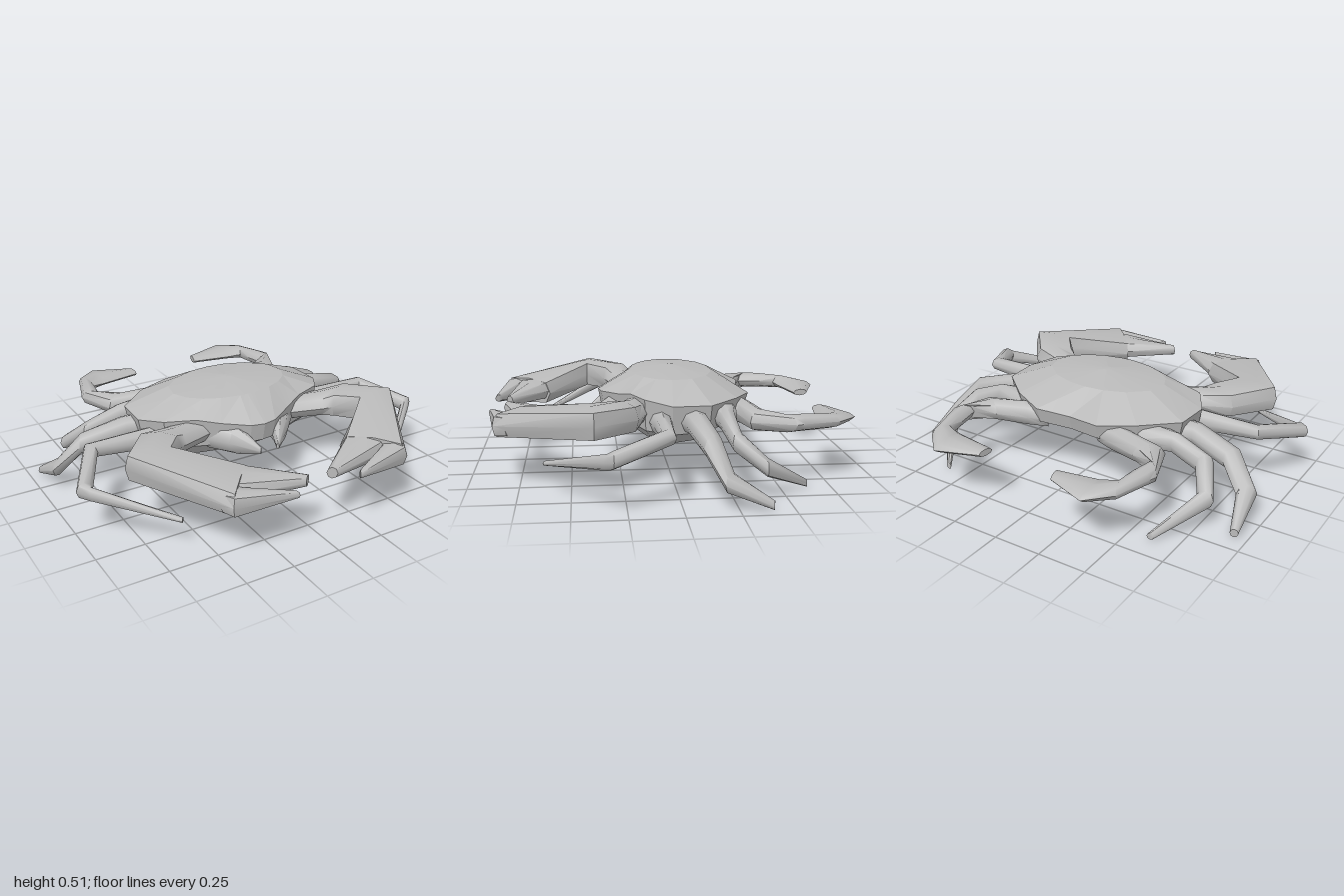
import * as THREE from 'three';
import { toCreasedNormals } from 'three/addons/utils/BufferGeometryUtils.js';

const shellGrey = new THREE.MeshStandardMaterial({ color: 0xbababa });
shellGrey.name = 'shellGrey';

// Closed skin through equal-length rings of points, capped at both ends.
function loft(rings, crease) {
  const n = rings[0].length, pos = [], idx = [];
  rings.forEach(r => r.forEach(p => pos.push(...p)));
  for (let j = 0; j < rings.length - 1; j++)
    for (let i = 0; i < n; i++) {
      const a = j * n + i, b = j * n + (i + 1) % n;
      idx.push(a, a + n, b, b, a + n, b + n);
    }
  [0, rings.length - 1].forEach(j => {
    const centre = [0, 1, 2].map(k => rings[j].reduce((s, p) => s + p[k], 0) / n);
    const c = pos.length / 3;
    pos.push(...centre);
    for (let i = 0; i < n; i++) {
      const a = j * n + i, b = j * n + (i + 1) % n;
      j ? idx.push(c, b, a) : idx.push(c, a, b);
    }
  });
  // turn the faces outward if the rings run the other way
  const v = i => new THREE.Vector3().fromArray(pos, i * 3);
  let volume = 0;
  for (let i = 0; i < idx.length; i += 3)
    volume += v(idx[i]).dot(v(idx[i + 1]).cross(v(idx[i + 2])));
  if (volume < 0) idx.reverse();
  const g = new THREE.BufferGeometry();
  g.setAttribute('position', new THREE.Float32BufferAttribute(pos, 3));
  g.setIndex(idx);
  return toCreasedNormals(g, crease);
}

// Limb from sections [edge x, edge z, other edge x, other edge z, centre y, half height, power];
// a power below 1 makes the section boxier.
function limb(sections, side) {
  const bend = (v, power) => Math.sign(v) * Math.abs(v) ** power;
  const rings = sections.map(([ax, az, bx, bz, y, h, power = 1]) =>
    Array.from({ length: 8 }, (_, i) => {
      const t = i / 8 * Math.PI * 2;
      const c = (1 + bend(Math.cos(t), power)) / 2;
      return [side * (bx + (ax - bx) * c), y + bend(Math.sin(t), power) * h, bz + (az - bz) * c];
    }));
  return loft(rings, 0.85);
}

const limbs = {
  clawArm: [
    [0.24, 0.06, 0.2, 0.21, 0.34, 0.06], [0.46, 0.13, 0.41, 0.29, 0.35, 0.065],
    [0.63, 0.18, 0.45, 0.315, 0.36, 0.075, 0.7], [0.785, 0.39, 0.54, 0.41, 0.367, 0.073, 0.4],
    [0.49, 0.87, 0.27, 0.62, 0.313, 0.07, 0.6]],
  clawThumb: [
    [0.46, 0.76, 0.33, 0.6, 0.325, 0.055, 0.7], [0.40, 0.80, 0.275, 0.63, 0.325, 0.055, 0.7],
    [0.09, 0.845, 0.05, 0.81, 0.315, 0.03]],
  clawFinger: [
    [0.52, 0.81, 0.42, 0.73, 0.313, 0.055, 0.7], [0.49, 0.87, 0.39, 0.78, 0.31, 0.06, 0.7],
    [0.17, 0.915, 0.19, 0.88, 0.31, 0.02]],
  frontLeg: [
    [0.42, 0.0, 0.42, 0.12, 0.305, 0.065], [0.6, 0.015, 0.6, 0.105, 0.315, 0.052],
    [0.845, 0.025, 0.8, 0.1, 0.325, 0.038], [1.0, 0.31, 0.92, 0.32, 0.265, 0.042],
    [0.95, 0.355, 0.92, 0.32, 0.25, 0.038], [0.62, 0.63, 0.6, 0.605, 0.16, 0.012]],
  middleLeg: [
    [0.42, -0.01, 0.42, -0.17, 0.31, 0.07], [0.58, -0.045, 0.57, -0.165, 0.32, 0.058],
    [0.82, -0.1, 0.76, -0.2, 0.265, 0.055], [0.945, -0.18, 0.86, -0.24, 0.13, 0.05],
    [0.955, -0.4, 0.915, -0.41, 0.03, 0.022]],
  rearLeg: [
    [0.36, -0.18, 0.36, -0.33, 0.33, 0.065], [0.54, -0.21, 0.53, -0.3, 0.325, 0.055],
    [0.74, -0.245, 0.67, -0.305, 0.265, 0.052], [0.82, -0.4, 0.735, -0.405, 0.16, 0.045],
    [0.635, -0.63, 0.6, -0.635, 0.027, 0.018]],
  swimmingLeg: [
    [0.24, -0.24, 0.14, -0.38, 0.32, 0.07], [0.36, -0.33, 0.24, -0.415, 0.32, 0.065],
    [0.54, -0.365, 0.41, -0.46, 0.315, 0.055], [0.615, -0.58, 0.53, -0.5, 0.315, 0.044],
    [0.6, -0.62, 0.505, -0.62, 0.315, 0.042], [0.54, -0.81, 0.495, -0.705, 0.31, 0.036],
    [0.425, -0.92, 0.42, -0.72, 0.305, 0.03], [0.21, -0.84, 0.195, -0.76, 0.305, 0.018]],
  mouthpart: [
    [0.28, 0.19, 0.08, 0.2, 0.31, 0.08], [0.18, 0.3, 0.07, 0.31, 0.3, 0.07],
    [0.055, 0.405, 0.045, 0.395, 0.27, 0.018]],
};

// Rim of the shell, [x, y, z] from the back round the left to the front.
const halfRim = [
  [0, 0.38, -0.39], [0.18, 0.39, -0.42], [0.36, 0.40, -0.33], [0.53, 0.40, -0.18],
  [0.54, 0.40, 0.01], [0.46, 0.42, 0.14], [0.31, 0.42, 0.2], [0.2, 0.40, 0.26],
  [0.07, 0.39, 0.34], [0, 0.39, 0.355]];

function createShell() {
  const rim = [...halfRim, ...halfRim.slice(1, -1).reverse().map(([x, y, z]) => [-x, y, z])];
  const ellipse = (a, b, y) => rim.map(([x, , z]) => {
    const t = Math.atan2((z + 0.03) / 0.38, x / 0.54);
    return [Math.cos(t) * a, y, Math.sin(t) * b - 0.03];
  });
  // lower rings rise towards the front and back
  const lower = (s, y, rise) => rim.map(([x, , z]) => [x * s, y + rise * (z * s) ** 2, z * s]);
  return loft([
    ellipse(0.03, 0.03, 0.2), lower(0.64, 0.168, 1.1), lower(0.95, 0.255, 0.35),
    rim, ellipse(0.33, 0.215, 0.49), ellipse(0.02, 0.02, 0.515)], 0.12);
}

export function createModel() {
  const model = new THREE.Group();
  model.name = 'crab';
  const add = (name, geometry) => {
    const mesh = new THREE.Mesh(geometry, shellGrey);
    mesh.name = name;
    model.add(mesh);
  };
  add('shell', createShell());
  for (const side of [1, -1])
    for (const [name, sections] of Object.entries(limbs))
      add((side > 0 ? 'left ' : 'right ') + name, limb(sections, side));
  return model;
}
